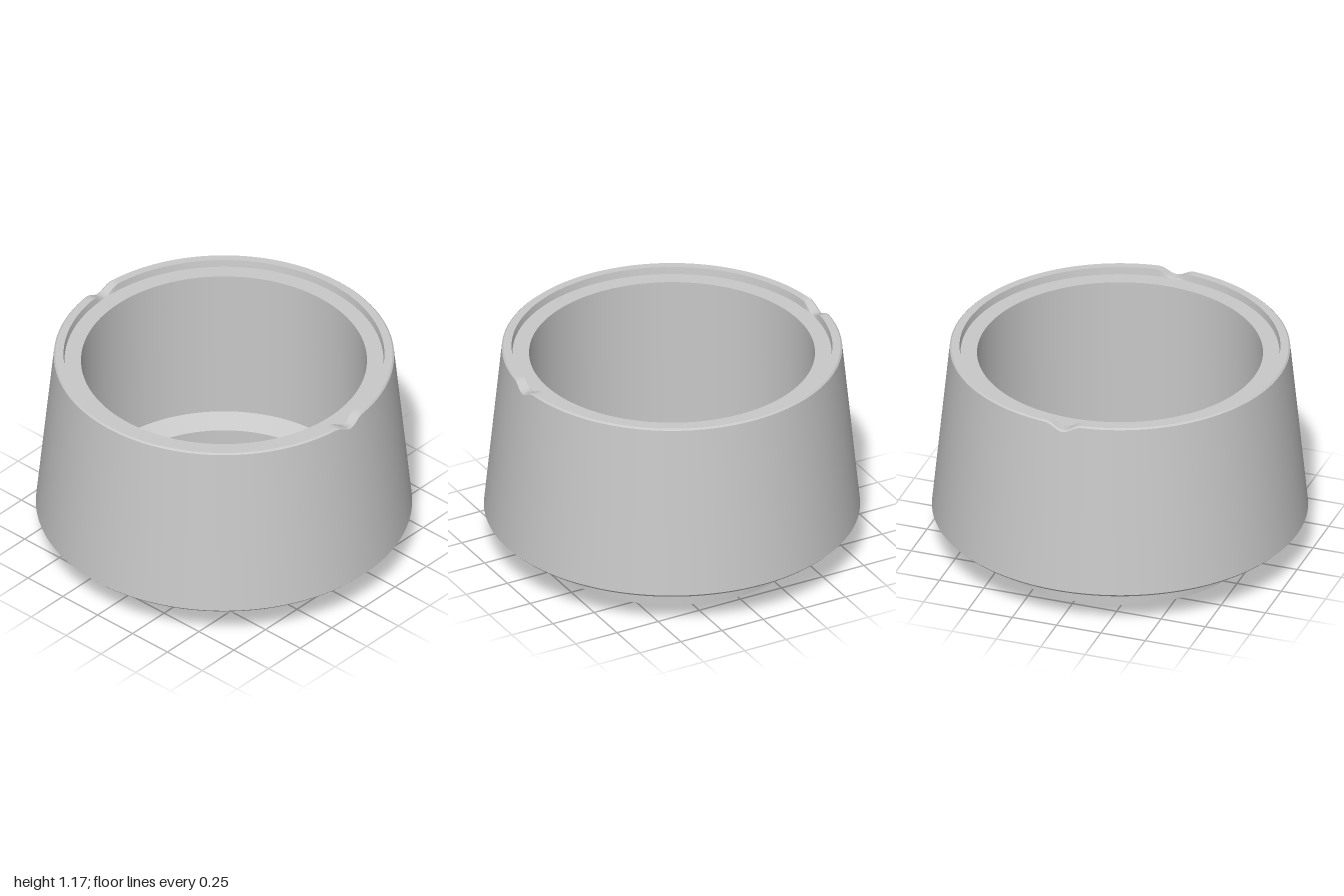
import * as THREE from 'three';
import { toCreasedNormals } from 'three/addons/utils/BufferGeometryUtils.js';

const SEGMENTS = 256;
const LEDGE_Y = 1.135;
const NOTCH_DEPTH = 0.039;
const NOTCH_HALF_WIDTH = 0.1;

export function createModel() {
  const group = new THREE.Group();
  const metal = new THREE.MeshStandardMaterial({ color: 0xc8c8c8 });
  metal.name = 'lightGrey';

  // Revolves one stretch of the ring's closed profile
  function addRing(name, profile, shape) {
    const geometry = new THREE.LatheGeometry(
      profile.map(([r, y]) => new THREE.Vector2(r, y)), SEGMENTS);
    if (shape) shape(geometry.attributes.position);
    const mesh = new THREE.Mesh(toCreasedNormals(geometry, 0.5), metal);
    mesh.name = name;
    group.add(mesh);
  }

  // Dips the upper edge into a soft V at both x ends
  function cutNotches(position) {
    for (let i = 0; i < position.count; i++) {
      const z = position.getZ(i);
      const y = position.getY(i);
      if (y < LEDGE_Y + 0.01 || Math.abs(z) > NOTCH_HALF_WIDTH) continue;
      const drop = NOTCH_DEPTH * 0.5 * (1 + Math.cos(Math.PI * z / NOTCH_HALF_WIDTH));
      position.setY(i, y - drop);
      // the outer edge follows the sloping wall as it drops
      const x = position.getX(i);
      if (Math.hypot(x, z) > 0.88) position.setX(i, x + Math.sign(x) * drop * 0.1);
    }
  }

  // Lower spigot and the flat underside
  addRing('collar', [[0.65, 0], [0.72, 0], [0.72, 0.2], [0.985, 0.2]]);
  // Chamfered foot and tapered outer wall
  addRing('outerWall', [[0.985, 0.2], [1, 0.215], [0.905, 1.167]], cutNotches);
  // Rim bevel, rim top and the step down to the ledge
  addRing('rim', [[0.905, 1.167], [0.896, 1.175], [0.853, 1.175], [0.848, LEDGE_Y]], cutNotches);
  addRing('ledge', [[0.848, LEDGE_Y], [0.76, LEDGE_Y]]);
  // Wide straight bore, shallow conical seat at its foot, narrow bore through the collar
  addRing('wideBore', [[0.76, LEDGE_Y], [0.76, 0.25]]);
  addRing('conicalSeat', [[0.76, 0.25], [0.65, 0.205]]);
  addRing('narrowBore', [[0.65, 0.205], [0.65, 0]]);

  return group;
}
